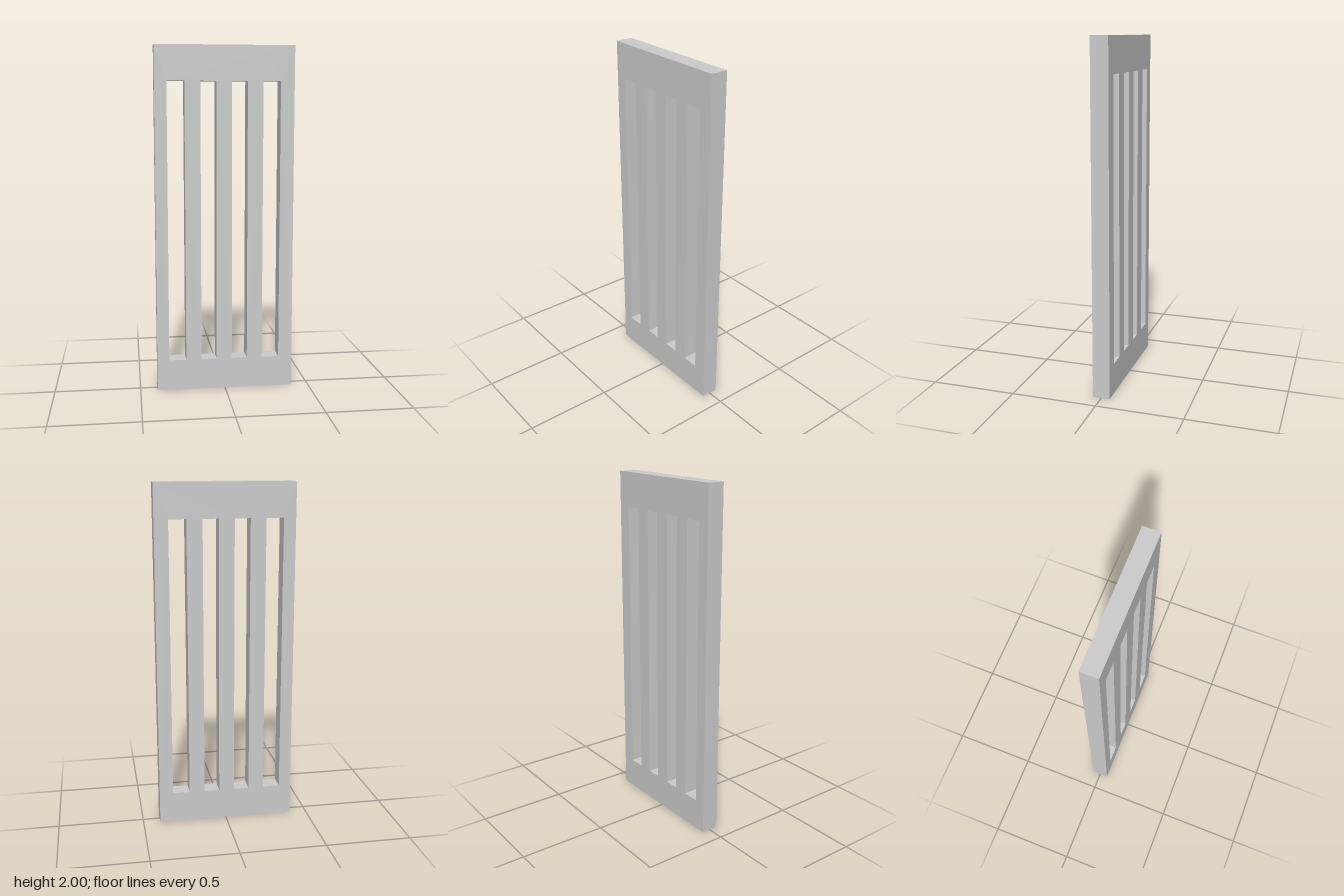
import * as THREE from 'three';

const WIDTH = 0.8, HEIGHT = 2, DEPTH = 0.1;
const SLOT_BOTTOM = 0.18, SLOT_TOP = 1.8;
// left and right edge of each slot
const SLOTS = [[-0.33, -0.23], [-0.14, -0.05], [0.04, 0.13], [0.22, 0.32]];

function rectangle(target, x0, y0, x1, y1) {
  target.moveTo(x0, y0);
  target.lineTo(x1, y0);
  target.lineTo(x1, y1);
  target.lineTo(x0, y1);
  target.closePath();
  return target;
}

export function createModel() {
  const group = new THREE.Group();
  group.name = 'slottedPanel';

  // Flat upright board with four tall slots cut through it
  const outline = rectangle(new THREE.Shape(), -WIDTH / 2, 0, WIDTH / 2, HEIGHT);
  for (const [x0, x1] of SLOTS) {
    outline.holes.push(rectangle(new THREE.Path(), x0, SLOT_BOTTOM, x1, SLOT_TOP));
  }
  const geometry = new THREE.ExtrudeGeometry(outline, { depth: DEPTH, bevelEnabled: false });
  geometry.translate(0, 0, -DEPTH / 2);

  const panel = new THREE.Mesh(
    geometry,
    new THREE.MeshStandardMaterial({ color: 0xcccccc, flatShading: true })
  );
  panel.name = 'panel';
  group.add(panel);
  return group;
}
